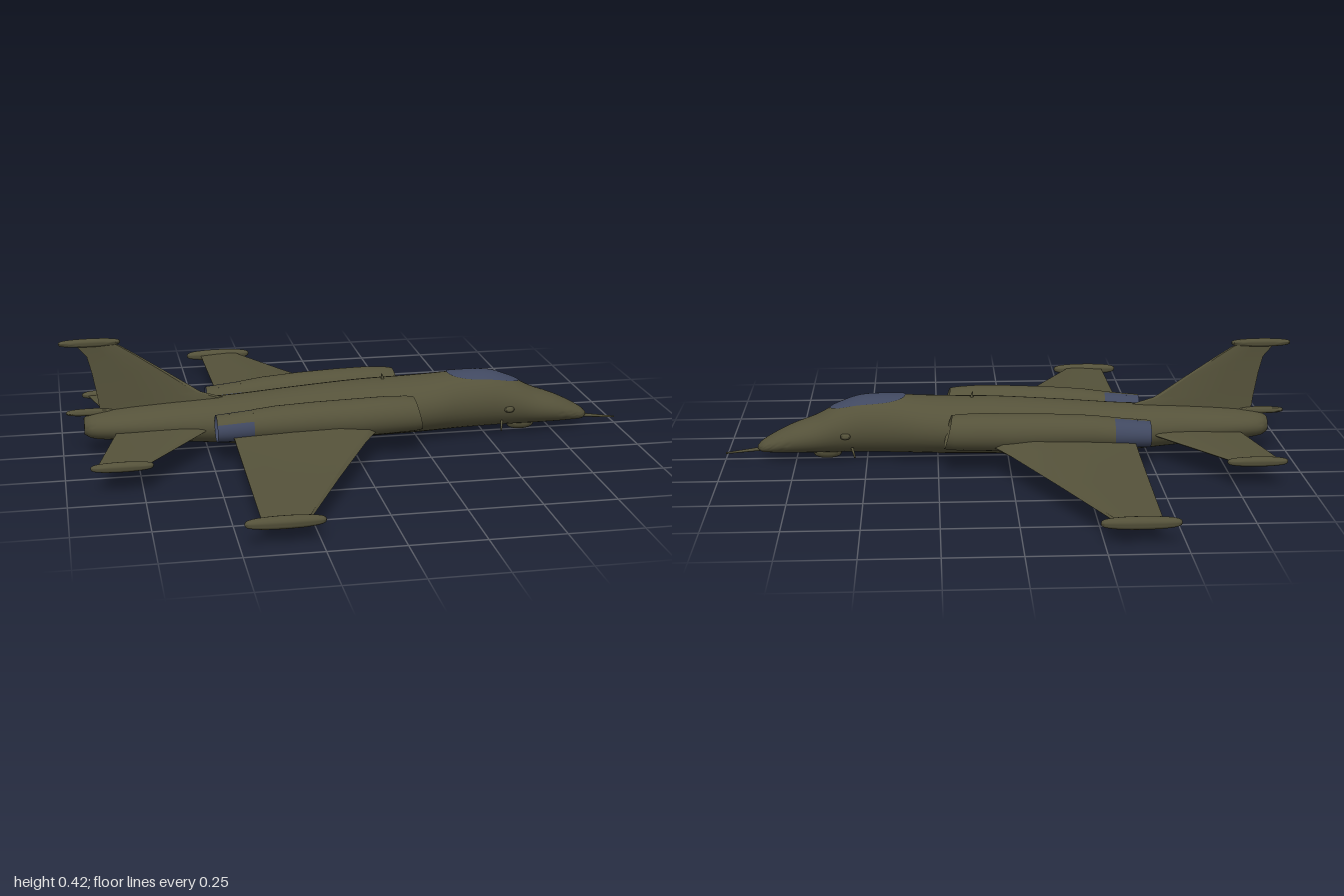
import * as THREE from 'three';
import { toCreasedNormals } from 'three/addons/utils/BufferGeometryUtils.js';
import { ParametricGeometry } from 'three/addons/geometries/ParametricGeometry.js';

// Closed loft through rings of equal point count, turned to face outward
function loft(rings, crease = 0.7) {
  const n = rings[0].length, pos = rings.flat(2), idx = [];
  for (let i = 0; i < rings.length - 1; i++) {
    for (let j = 0; j < n; j++) {
      const a = i * n + j, b = i * n + (j + 1) % n;
      idx.push(a, b, a + n, b, b + n, a + n);
    }
  }
  const last = (rings.length - 1) * n;
  for (let j = 1; j < n - 1; j++) idx.push(0, j + 1, j, last, last + j, last + j + 1);
  const v = k => new THREE.Vector3().fromArray(pos, k * 3);
  let volume = 0;
  for (let k = 0; k < idx.length; k += 3) volume += v(idx[k]).dot(v(idx[k + 1]).cross(v(idx[k + 2])));
  if (volume < 0) idx.reverse();
  const g = new THREE.BufferGeometry();
  g.setAttribute('position', new THREE.Float32BufferAttribute(pos, 3));
  g.setIndex(idx);
  return toCreasedNormals(g, crease);
}

// Elliptical ring across x, with an optional forward slant
function ring(x, y, z, ry, rz = ry, slant = 0, n = 32) {
  return Array.from({ length: n }, (_, i) => {
    const a = i / n * Math.PI * 2, dy = Math.cos(a) * ry;
    return [x - dy * slant, y + dy, z + Math.sin(a) * rz];
  });
}

// Thin aerofoil section from leading to trailing edge; along the z span
function foil(lead, trail, y, z, t) {
  const chord = [[0, 0], [0.04, 0.6], [0.25, 1], [0.6, 0.7], [1, 0.1]];
  const at = ([u, h], s) => [lead + (trail - lead) * u, y + h * t * s, z];
  return [...chord.map(p => at(p, 1)), ...chord.slice(1).reverse().map(p => at(p, -1))];
}

// Blunt pod running along x
function pod(x0, x1, y, z, ry, rz = ry) {
  const rings = [];
  for (let i = 0; i <= 14; i++) {
    const t = i / 14, r = Math.max(0.02, Math.pow(Math.sin(Math.PI * t), 0.6));
    rings.push(ring(x0 + (x1 - x0) * (0.5 - 0.5 * Math.cos(Math.PI * t)), y, z, ry * r, rz * r, 0, 16));
  }
  return loft(rings, 1.2);
}

// Fuselage stations: x, bottom, top, half width
const stations = [
  [-0.925, 0.085, 0.14, 0.035], [-0.9, 0.072, 0.155, 0.06], [-0.8, 0.062, 0.17, 0.085],
  [-0.6, 0.045, 0.185, 0.1], [-0.4, 0.026, 0.193, 0.108], [-0.2, 0.016, 0.208, 0.115],
  [0.05, 0.022, 0.223, 0.125], [0.2, 0.026, 0.226, 0.13], [0.3, 0.028, 0.23, 0.122],
  [0.4, 0.03, 0.236, 0.105], [0.52, 0.032, 0.232, 0.095], [0.6, 0.033, 0.205, 0.09],
  [0.68, 0.033, 0.165, 0.083], [0.76, 0.033, 0.135, 0.071], [0.83, 0.034, 0.1, 0.052],
  [0.87, 0.036, 0.075, 0.032], [0.885, 0.045, 0.06, 0.01],
];
const curves = [1, 2, 3].map(k => new THREE.CatmullRomCurve3(
  stations.map(s => new THREE.Vector3(s[0], s[k], 0)), false, 'centripetal'));
function station(t) {
  const [b, top, w] = curves.map(c => c.getPoint(t));
  return { x: b.x, y: (b.y + top.y) / 2, ry: (top.y - b.y) / 2, w: w.y };
}
function stationAt(x) {
  let i = 0;
  while (i < stations.length - 2 && stations[i + 1][0] < x) i++;
  const f = (x - stations[i][0]) / (stations[i + 1][0] - stations[i][0]);
  return station((i + f) / (stations.length - 1));
}

export function createModel() {
  const model = new THREE.Group();
  const olive = new THREE.MeshStandardMaterial({ color: 0x55523a });
  olive.name = 'olive paint';
  const blue = new THREE.MeshStandardMaterial({ color: 0x404860, side: THREE.DoubleSide });
  blue.name = 'dark blue glass and metal';
  const oliveSheet = olive.clone();
  oliveSheet.side = THREE.DoubleSide;
  const add = (name, geo, mat = olive) => {
    const m = new THREE.Mesh(geo, mat);
    m.name = name;
    model.add(m);
    return m;
  };
  const rod = (name, a, b, r0, r1) => {
    const p = new THREE.Vector3(...a), q = new THREE.Vector3(...b), d = q.clone().sub(p);
    const m = add(name, new THREE.CylinderGeometry(r1, r0, d.length(), 10));
    m.position.copy(p).add(q).multiplyScalar(0.5);
    m.quaternion.setFromUnitVectors(new THREE.Vector3(0, 1, 0), d.normalize());
  };

  // Body
  const hull = [];
  for (let i = 0; i <= 64; i++) {
    const s = station(i / 64);
    hull.push(ring(s.x, s.y, 0, s.ry, s.w));
  }
  add('fuselage', loft(hull, 1));

  // Canopy glass lying on the fuselage
  add('canopy', new ParametricGeometry((u, v, p) => {
    const e = 2 * u - 1, s = stationAt(0.495 + 0.135 * e);
    const a = (v - 0.5) * 1.28 * Math.pow(Math.max(0, 1 - e * e), 0.4);
    p.set(s.x, s.y + (s.ry + 0.004) * Math.cos(a), (s.w + 0.004) * Math.sin(a));
  }, 28, 14), blue);

  // Nose probe, tail boom and small fittings
  rod('noseProbe', [0.87, 0.045, 0], [1, 0.03, 0], 0.007, 0.003);
  add('tailBoom', pod(-0.985, -0.82, 0.162, 0, 0.013));
  add('chinFairing', pod(0.59, 0.69, 0.036, 0, 0.028, 0.024));
  add('bellyFairing', pod(-0.45, 0.1, 0.035, 0, 0.02, 0.05));
  rod('spineAntenna', [0.13, 0.215, 0], [0.125, 0.243, 0], 0.008, 0.002);

  for (const s of [1, -1]) {
    const side = s > 0 ? 'right' : 'left';
    rod(side + 'AirProbe', [0.55, 0.065, s * 0.075], [0.54, 0.04, s * 0.105], 0.005, 0.003);
    add(side + 'Sensor', pod(0.555, 0.59, 0.112, s * 0.091, 0.011));

    // Wing with tip pod
    add(side + 'Wing', loft([
      foil(0.16, -0.43, 0.108, s * 0.08, 0.03), foil(0.05, -0.43, 0.108, s * 0.245, 0.024),
      foil(0.005, -0.43, 0.103, s * 0.32, 0.016), foil(-0.135, -0.43, 0.091, s * 0.6, 0.012),
      foil(-0.285, -0.43, 0.079, s * 0.915, 0.008),
    ], 0.5));
    add(side + 'WingTipPod', pod(-0.485, -0.235, 0.079, s * 0.92, 0.021, 0.019));

    // Tailplane with tip pod
    add(side + 'Tailplane', loft([
      foil(-0.45, -0.81, 0.105, s * 0.04, 0.015), foil(-0.51, -0.825, 0.103, s * 0.1, 0.012),
      foil(-0.74, -0.9, 0.098, s * 0.4, 0.007),
    ], 0.5));
    add(side + 'TailplaneTipPod', pod(-0.92, -0.715, 0.099, s * 0.402, 0.017, 0.016));

    // Engine nacelle with hollow slanted intake
    add(side + 'Nacelle', loft([
      ring(0.1, 0.15, s * 0.178, 0.044), ring(0.208, 0.15, s * 0.178, 0.05, 0.05, 0.25),
      ring(0.216, 0.15, s * 0.178, 0.058, 0.058, 0.25), ring(0.19, 0.15, s * 0.18, 0.062, 0.062, 0.25),
      ring(0.1, 0.15, s * 0.183, 0.065, 0.067), ring(0, 0.148, s * 0.184, 0.065, 0.068),
      ring(-0.15, 0.146, s * 0.179, 0.062, 0.065), ring(-0.28, 0.142, s * 0.173, 0.058, 0.062),
      ring(-0.36, 0.137, s * 0.169, 0.053, 0.058),
    ], 0.9));
    add(side + 'IntakeLining', new ParametricGeometry((u, v, p) => {
      const a = u * Math.PI * 2, r = 0.042 + 0.006 * v, dy = Math.cos(a) * r;
      p.set(0.105 + v * 0.1 - dy * 0.25 * v, 0.15 + dy, s * 0.178 + Math.sin(a) * r);
    }, 28, 2), blue);
    const fan = add(side + 'IntakeFan', new THREE.CircleGeometry(0.043, 28), blue);
    fan.rotation.y = Math.PI / 2;
    fan.position.set(0.106, 0.15, s * 0.178);
    add(side + 'IntakeSpinner', pod(0.07, 0.14, 0.15, s * 0.178, 0.015), blue);

    // Exhaust pipe: blue metal with an olive strip along the top
    const shell = (a0, a1) => new ParametricGeometry((u, v, p) => {
      const a = a0 + (a1 - a0) * u;
      p.set(-0.35 - 0.135 * v, 0.137 - 0.006 * v + Math.cos(a) * (0.053 - 0.007 * v),
        s * (0.169 - 0.002 * v) + Math.sin(a) * (0.058 - 0.005 * v));
    }, 24, 2);
    add(side + 'ExhaustPipe', shell(1, Math.PI * 2 - 0.1), blue);
    add(side + 'ExhaustStrip', shell(-0.1, 1), oliveSheet);
    const core = add(side + 'ExhaustCore', new THREE.CircleGeometry(0.05, 28), blue);
    core.rotation.y = -Math.PI / 2;
    core.position.set(-0.44, 0.133, s * 0.167);
  }

  // Swept fin with tip pod
  const finRows = [
    [0.13, -0.38, -0.86, 0.016], [0.19, -0.44, -0.872, 0.012], [0.215, -0.52, -0.875, 0.01],
    [0.3, -0.645, -0.89, 0.008], [0.36, -0.735, -0.905, 0.007], [0.395, -0.79, -0.935, 0.006],
    [0.41, -0.82, -0.96, 0.006],
  ];
  add('fin', loft(finRows.map(([y, lead, trail, t]) =>
    foil(lead, trail, 0, 0, t).map(([x, h]) => [x, y, h])), 0.5));
  add('finTipPod', pod(-1, -0.79, 0.41, 0, 0.015, 0.012));
  return model;
}
